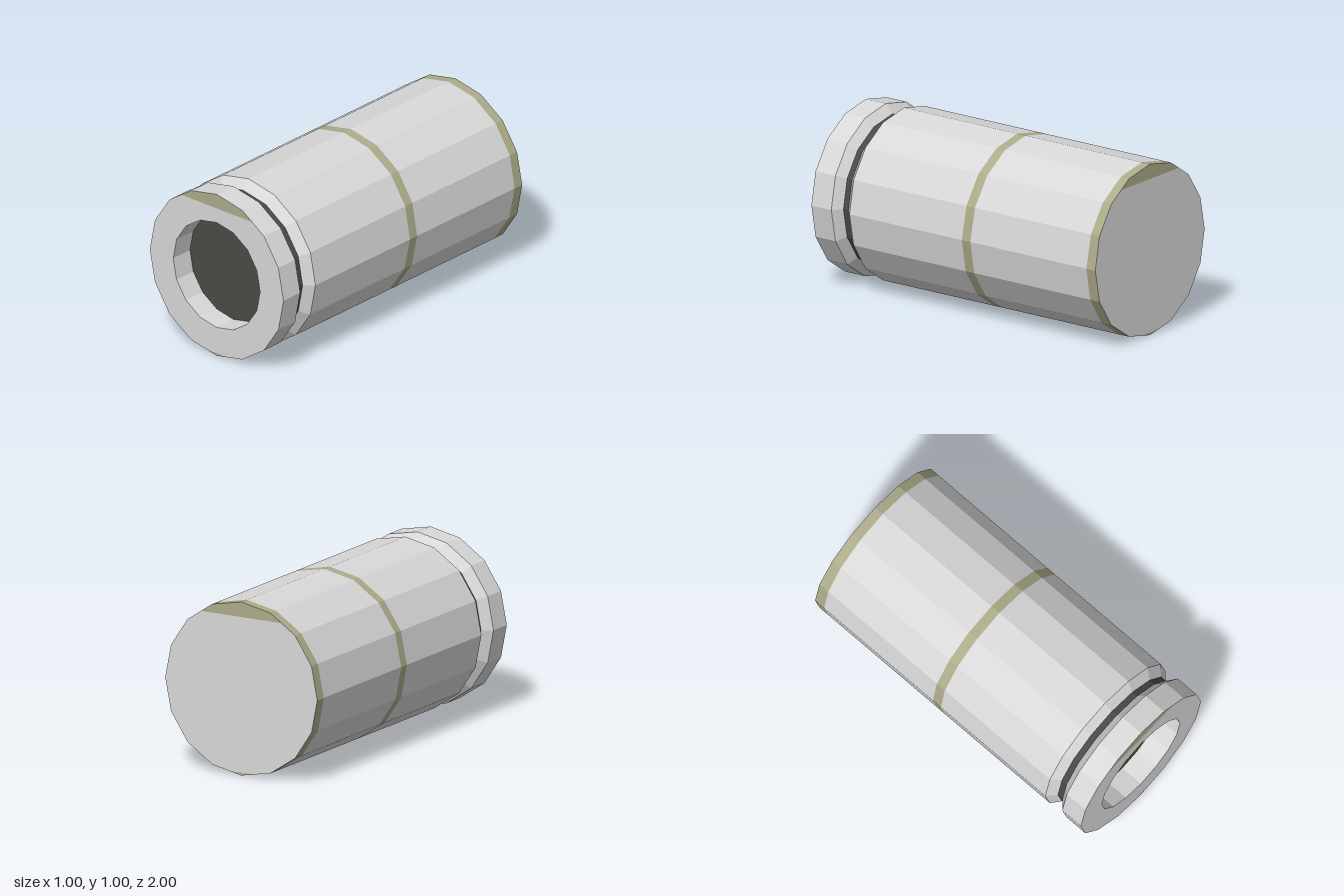
import * as THREE from 'three';

const SIDES = 16, R = 0.5, CY = 0.5;
const TOP_CUT = 0.913, LOW_CUT = 0.016; // heights of the tinted edges on the end faces

const shell = new THREE.MeshStandardMaterial({ color: 0xd8d8d8 });
shell.name = 'light grey shell';
const olive = new THREE.MeshStandardMaterial({ color: 0xacab8a });
olive.name = 'olive band';
const dark = new THREE.MeshStandardMaterial({ color: 0x4b4a46 });
dark.name = 'dark core';

const angle = (i) => ((i % SIDES) / SIDES) * Math.PI * 2;
const corner = (i, r) => new THREE.Vector2(r * Math.cos(angle(i)), CY + r * Math.sin(angle(i)));
const ring = (r) => Array.from({ length: SIDES }, (_, i) => corner(i, r));
// Painted band edges lean slightly around the body
const lean = (z) => (a) => z - 0.008 * Math.sin(a) - 0.003 * Math.cos(a);

// Faceted wall from front to back; z may be a number or a function of the angle
function wall(name, material, zFront, zBack, rFront = R, rBack = rFront) {
  const point = (i, r, z) => {
    const c = corner(i, r);
    return [c.x, c.y, typeof z === 'function' ? z(angle(i)) : z];
  };
  const positions = [];
  for (let i = 0; i < SIDES; i++) {
    const a = point(i, rFront, zFront), b = point(i, rBack, zBack);
    const c = point(i + 1, rBack, zBack), d = point(i + 1, rFront, zFront);
    positions.push(...a, ...b, ...c, ...a, ...c, ...d);
  }
  const geometry = new THREE.BufferGeometry();
  geometry.setAttribute('position', new THREE.Float32BufferAttribute(positions, 3));
  geometry.computeVertexNormals();
  const mesh = new THREE.Mesh(geometry, material);
  mesh.name = name;
  return mesh;
}

// Keep the part of a polygon between two heights
function slice(points, low, high) {
  const clip = (list, inside, h) => list.flatMap((p, i) => {
    const q = list[(i + 1) % list.length];
    const out = inside(p.y) ? [p] : [];
    if (inside(p.y) !== inside(q.y)) out.push(p.clone().lerp(q, (h - p.y) / (q.y - p.y)));
    return out;
  });
  return clip(clip(points, (y) => y >= low, low), (y) => y <= high, high);
}

function plate(name, material, points, z, hole, back = false) {
  const shape = new THREE.Shape(points);
  if (hole) shape.holes.push(new THREE.Path(hole));
  const mesh = new THREE.Mesh(new THREE.ShapeGeometry(shape), material);
  mesh.name = name;
  mesh.position.z = z;
  if (back) mesh.rotation.y = Math.PI;
  return mesh;
}

// End face with olive segments at its top and bottom
function endFace(name, z, hole, back) {
  const group = new THREE.Group();
  group.name = name;
  const outline = ring(R);
  group.add(
    plate(name + 'Plate', shell, slice(outline, LOW_CUT, TOP_CUT), z, hole, back),
    plate(name + 'TopEdge', olive, slice(outline, TOP_CUT, 2), z, null, back),
    plate(name + 'BottomEdge', olive, slice(outline, -1, LOW_CUT), z, null, back),
  );
  return group;
}

export function createModel() {
  const model = new THREE.Group();
  model.name = 'canister';

  // Front collar with its shallow round recess
  model.add(
    endFace('frontFace', 1, ring(0.325), false),
    wall('recessWall', shell, 0.86, 1, 0.325),
    plate('recessFloor', dark, ring(0.325), 0.86),
    wall('collar', shell, 1, 0.86),
  );

  // V-shaped groove behind the collar
  model.add(
    wall('grooveFrontSlope', shell, 0.86, 0.815, R, 0.447),
    wall('grooveFloor', dark, 0.815, 0.78, 0.447),
    wall('grooveBackSlope', shell, 0.78, 0.732, 0.447, R),
  );

  // Main body with two painted bands
  model.add(
    wall('frontBody', shell, 0.732, lean(-0.057)),
    wall('middleBand', olive, lean(-0.057), lean(-0.117)),
    wall('backBody', shell, lean(-0.117), lean(-0.934)),
    wall('endBand', olive, lean(-0.934), -1),
    endFace('backFace', -1, null, true),
  );

  return model;
}
